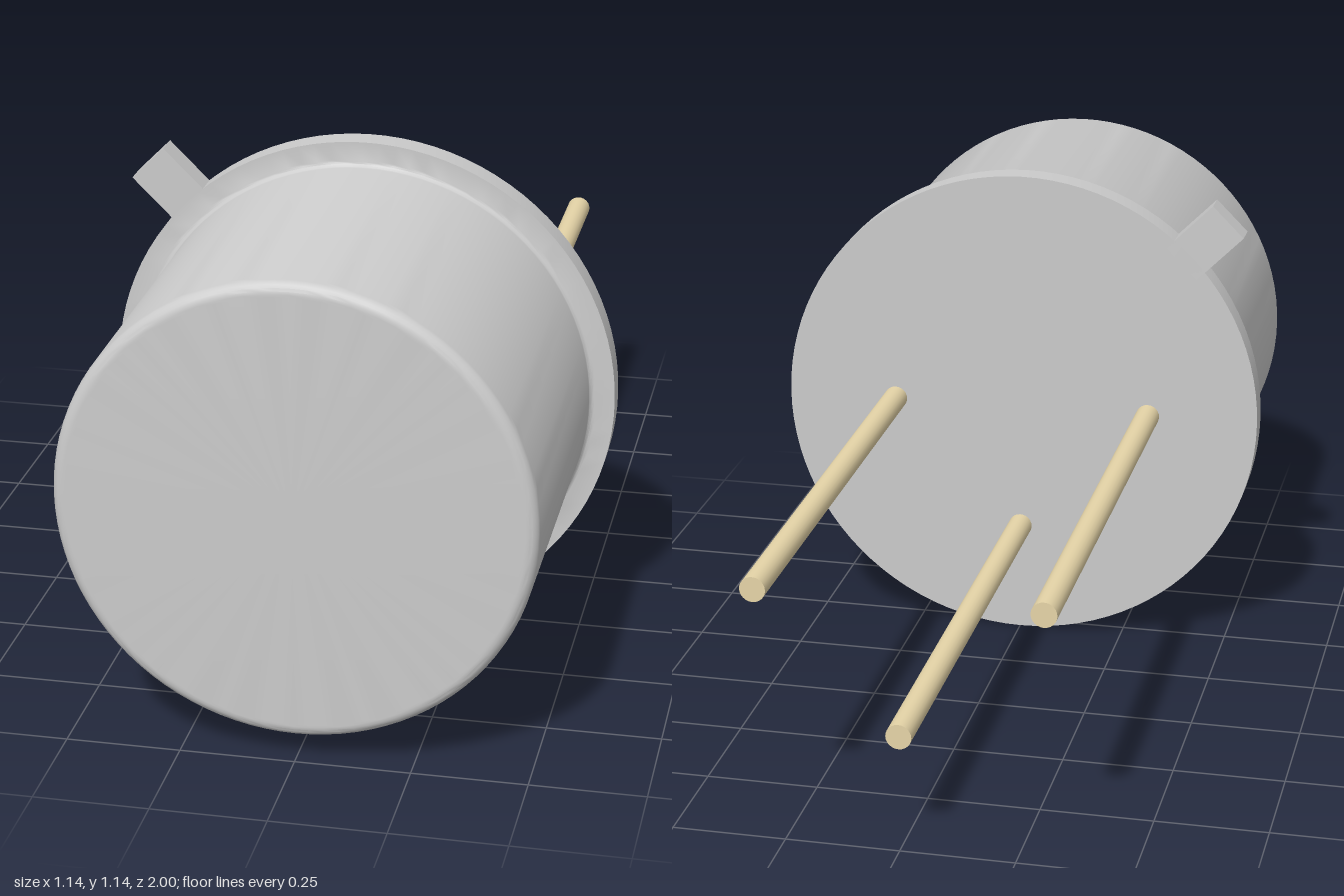
import * as THREE from 'three';
import { toCreasedNormals } from 'three/addons/utils/BufferGeometryUtils.js';

const CENTER_Y = 0.57, BACK = 0.21, FLANGE_FRONT = 0.27, FRONT = 1;
const FLANGE_R = 0.57, CAN_R = 0.513;

// Quarter-circle profile points around (cx, cy)
function arc(cx, cy, r, from, to, steps = 6) {
  return Array.from({ length: steps + 1 }, (_, i) => {
    const a = from + (to - from) * i / steps;
    return new THREE.Vector2(cx + r * Math.cos(a), cy + r * Math.sin(a));
  });
}

export function createModel() {
  const group = new THREE.Group();
  const grey = new THREE.MeshStandardMaterial({ color: 0xcccccc });
  const gold = new THREE.MeshStandardMaterial({ color: 0xe6d5a8 });
  const add = (name, geometry, material, x, y, z) => {
    const mesh = new THREE.Mesh(geometry, material);
    mesh.name = name;
    mesh.position.set(x, y, z);
    group.add(mesh);
    return mesh;
  };

  // Can and flange: one turned profile with a root fillet and a rounded front rim
  const v = (x, y) => new THREE.Vector2(x, y);
  const fillet = 0.015, rim = 0.027;
  const profile = [
    v(0, BACK), v(FLANGE_R, BACK), v(FLANGE_R, FLANGE_FRONT),
    ...arc(CAN_R + fillet, FLANGE_FRONT + fillet, fillet, 1.5 * Math.PI, Math.PI),
    ...arc(CAN_R - rim, FRONT - rim, rim, 0, Math.PI / 2),
    v(CAN_R - rim - 0.005, FRONT), v(0, FRONT),
  ];
  const can = new THREE.LatheGeometry(profile, 96).rotateX(Math.PI / 2);
  add('canWithFlange', toCreasedNormals(can, 0.5), grey, 0, CENTER_Y, 0);

  // Index tab pointing up and to the model's right
  const inner = 0.54, outer = 0.693, mid = (inner + outer) / 2;
  const tab = add('indexTab',
    new THREE.BoxGeometry(outer - inner, 0.103, FLANGE_FRONT - BACK), grey,
    -mid * Math.SQRT1_2, CENTER_Y + mid * Math.SQRT1_2, (BACK + FLANGE_FRONT) / 2);
  tab.rotation.z = 0.75 * Math.PI;

  // Three wire leads, running back from the base
  const leadEnd = BACK + 0.01, length = leadEnd + 1;
  const lead = new THREE.CylinderGeometry(0.028, 0.028, length, 24).rotateX(Math.PI / 2);
  const leads = { rightLead: [-0.308, 0], lowerLead: [0, -0.305], leftLead: [0.308, 0] };
  for (const [name, [x, y]] of Object.entries(leads)) {
    add(name, lead, gold, x, CENTER_Y + y, leadEnd - length / 2);
  }
  return group;
}
